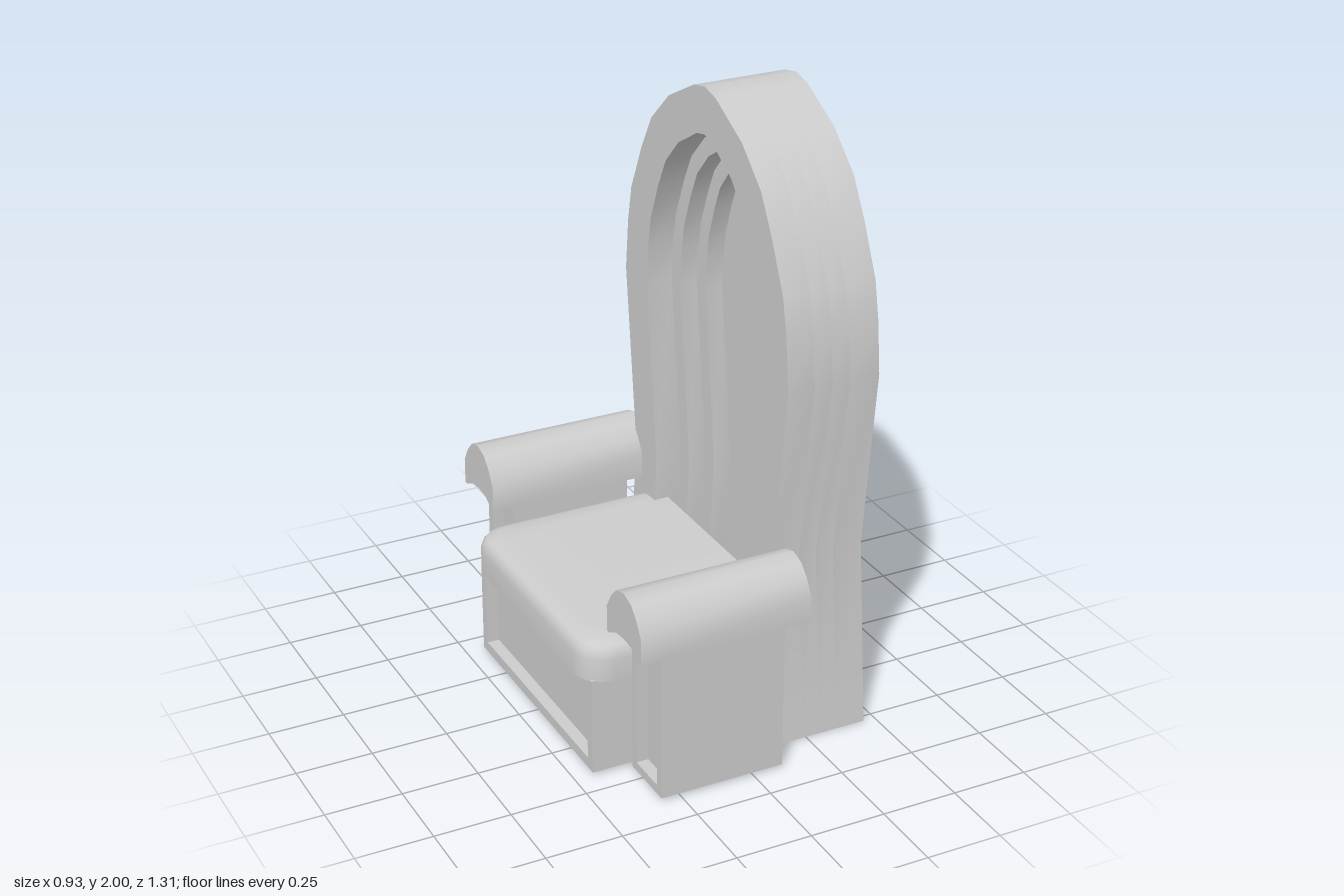
import * as THREE from 'three';
import { toCreasedNormals } from 'three/addons/utils/BufferGeometryUtils.js';

const material = new THREE.MeshStandardMaterial({ color: 0xcccccc });

function add(parent, name, geometry) {
  const mesh = new THREE.Mesh(toCreasedNormals(geometry, 0.6), material);
  mesh.name = name;
  parent.add(mesh);
  return mesh;
}

// Extrude a (-z, y) outline along x
function extrudeX(points, x0, x1, hole) {
  const shape = new THREE.Shape(points.map(([a, b]) => new THREE.Vector2(a, b)));
  if (hole) shape.holes.push(new THREE.Path(hole.map(([a, b]) => new THREE.Vector2(a, b))));
  const g = new THREE.ExtrudeGeometry(shape, { depth: x1 - x0, bevelEnabled: false });
  g.rotateY(Math.PI / 2);
  g.translate(x0, 0, 0);
  return g;
}

const rect = (a0, b0, a1, b1) => [[a0, b0], [a1, b0], [a1, b1], [a0, b1]];

function box(x0, x1, y0, y1, z0, z1) {
  const g = new THREE.BoxGeometry(x1 - x0, y1 - y0, z1 - z0);
  g.translate((x0 + x1) / 2, (y0 + y1) / 2, (z0 + z1) / 2);
  return g;
}

// Half outline of the tall back: [half width, height]
const BACK = [[0.525, 0], [0.47, 0.62], [0.539, 1.22], [0.522, 1.39], [0.498, 1.51],
  [0.424, 1.67], [0.355, 1.79], [0.235, 1.90], [0.07, 1.985], [0, 2]];

// Arch outline moved inward, running from one foot over the top to the other
function arch(inset) {
  const half = BACK.map(([w, y]) => y < 1.2
    ? [w - inset, y]
    : [w * (0.539 - inset) / 0.539, 1.22 + (y - 1.22) * (0.78 - inset) / 0.78]);
  return [...half, ...half.slice(0, -1).reverse().map(([w, y]) => [-w, y])];
}

// Cushion ring: rounded corners at the chair's front (-x), square at its rear
function cushionRing(inset, y) {
  const r = 0.1 - inset * 0.5, x0 = -0.465 + inset, w = 0.44 - inset;
  const ring = [[0.2, y, -w]];
  for (const side of [-1, 1]) {
    for (let i = 0; i <= 6; i++) {
      const t = (side < 0 ? i : 6 - i) / 6 * Math.PI / 2;
      ring.push([x0 + r - r * Math.sin(t), y, side * (w - r + r * Math.cos(t))]);
    }
  }
  ring.push([0.2, y, w]);
  return ring;
}

function cushionGeometry() {
  const rings = [[0, 0.33], [0, 0.405], [0.006, 0.43], [0.018, 0.445], [0.045, 0.455], [0.09, 0.46]]
    .map(([inset, y]) => cushionRing(inset, y));
  const n = rings[0].length, pos = rings.flat(2), index = [];
  for (let k = 0; k < rings.length - 1; k++) {
    for (let i = 0; i < n; i++) {
      const a = k * n + i, b = k * n + (i + 1) % n;
      index.push(a, b, b + n, a, b + n, a + n);
    }
  }
  const top = (rings.length - 1) * n;
  for (let i = 1; i < n - 1; i++) {
    index.push(0, i + 1, i);
    index.push(top, top + i, top + i + 1);
  }
  const g = new THREE.BufferGeometry();
  g.setAttribute('position', new THREE.Float32BufferAttribute(pos, 3));
  // rings run clockwise or not depending on the axes: reverse so faces point outward
  g.setIndex(index);
  g.computeVertexNormals();
  const p = new THREE.Vector3().fromBufferAttribute(g.attributes.normal, top + 5);
  if (p.y < 0) {
    index.reverse();
    g.setIndex(index);
    g.computeVertexNormals();
  }
  return g;
}

export function createModel() {
  const chair = new THREE.Group();
  chair.name = 'armchair';

  // Tall back: solid rear slab and stepped arches in front of it
  const back = new THREE.Group();
  back.name = 'chairBack';
  chair.add(back);
  add(back, 'backSlab', extrudeX(arch(0), 0.36, 0.46));
  [[0.15, 0.15, 0.24], [0.21, 0.24, 0.30], [0.27, 0.30, 0.36]].forEach(([inset, x0, x1], i) => {
    add(back, 'archStep' + (i + 1), extrudeX([...arch(0), ...arch(inset).reverse()], x0, x1));
  });

  // Seat: hollow base with a recessed front panel, cushion on top
  const seat = new THREE.Group();
  seat.name = 'seat';
  chair.add(seat);
  add(seat, 'seatFrontFrame', extrudeX(rect(-0.42, 0.01, 0.42, 0.335), -0.44, -0.40,
    rect(-0.385, 0.045, 0.385, 0.30)));
  add(seat, 'seatFrontPanel', box(-0.40, -0.36, 0.01, 0.335, -0.42, 0.42));
  add(seat, 'seatRearWall', box(0.12, 0.16, 0.01, 0.335, -0.42, 0.42));
  for (const s of [-1, 1]) {
    add(seat, 'seatSideWall', box(-0.36, 0.12, 0.01, 0.335, s * 0.40 - 0.02, s * 0.40 + 0.02));
  }
  add(seat, 'seatCushion', cushionGeometry());

  // Arms: post with recessed front panel under a curved rest
  const cap = [];
  const rest = [[0.115, 0.505], [0.115, 0.59], [0.085, 0.64], [0.05, 0.675], [0, 0.69]];
  const under = [[0, 0.535], [0.05, 0.53], [0.1, 0.505]];
  cap.push(...rest, ...rest.slice(0, -1).reverse().map(([a, b]) => [-a, b]));
  cap.push(...under.slice().reverse().map(([a, b]) => [-a, b]), ...under.slice(1));
  for (const s of [-1, 1]) {
    const arm = new THREE.Group();
    arm.name = s > 0 ? 'armPositiveZ' : 'armNegativeZ';
    arm.position.z = s * 0.54;
    chair.add(arm);
    add(arm, 'armFrontFrame', extrudeX(rect(-0.1, 0.01, 0.1, 0.507), -0.315, -0.275,
      rect(-0.07, 0.04, 0.07, 0.48)));
    add(arm, 'armPost', box(-0.275, 0.10, 0.01, 0.507, -0.1, 0.1));
    add(arm, 'armRest', extrudeX(cap, -0.39, 0.18));
  }
  return chair;
}
